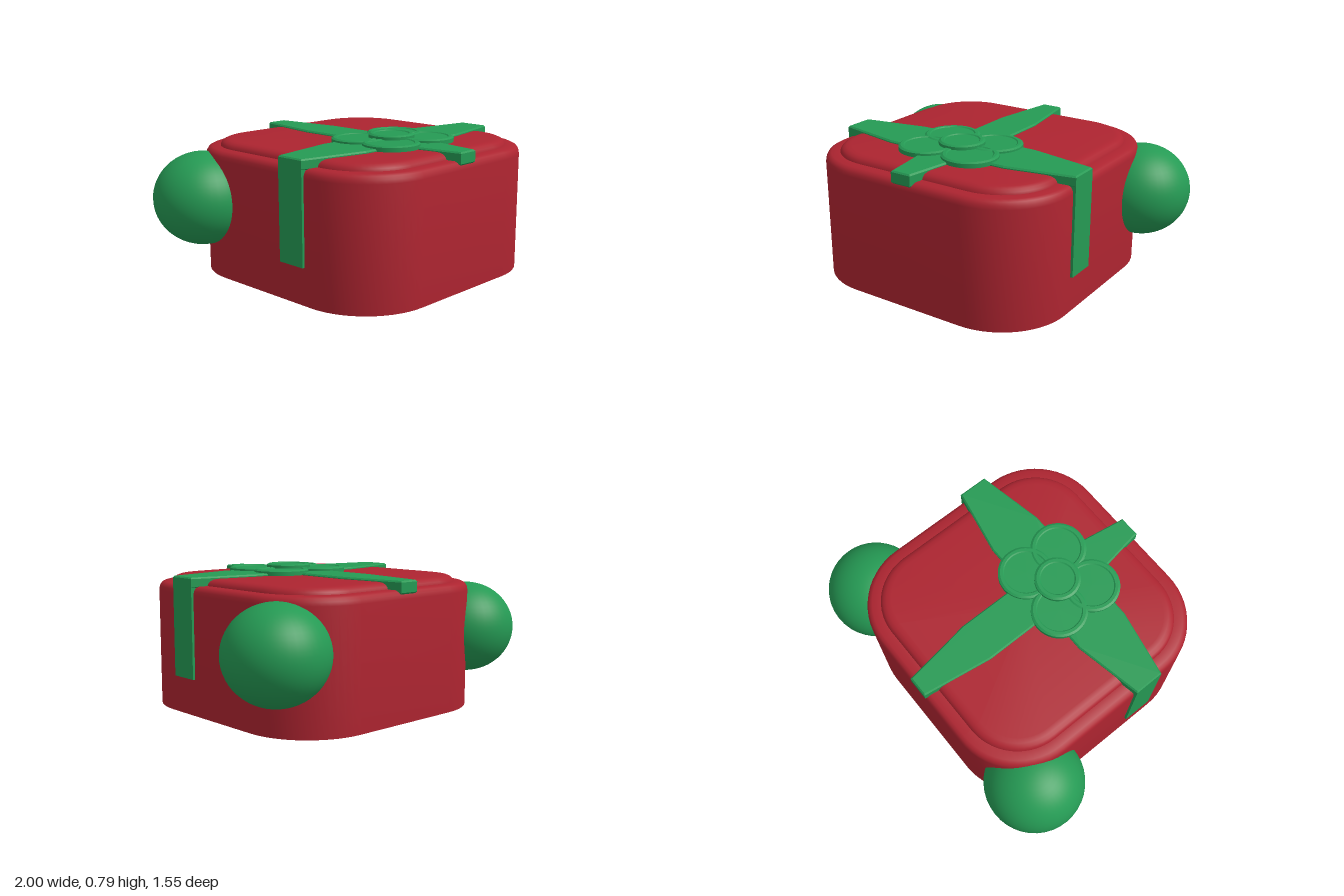
import * as THREE from 'three';
import { toCreasedNormals } from 'three/addons/utils/BufferGeometryUtils.js';

const BOX_Z = 0.035; // middle of the box
const BOW_Z = 0.25;  // middle of the bow

// Rounded-square body built from rings of [inset, height]
function roundedBody(half, radius, profile) {
  const pos = [], index = [], steps = 14, n = 4 * (steps + 1);
  for (const [inset, y] of profile) {
    const c = half - radius, r = radius - inset;
    for (let q = 0; q < 4; q++) {
      const sx = q === 0 || q === 3 ? 1 : -1, sz = q < 2 ? 1 : -1;
      for (let i = 0; i <= steps; i++) {
        const a = (q + i / steps) * Math.PI / 2;
        pos.push(sx * c + r * Math.cos(a), y, sz * c + r * Math.sin(a));
      }
    }
  }
  const last = profile.length - 1;
  for (let j = 0; j < last; j++) {
    for (let i = 0; i < n; i++) {
      const a = j * n + i, b = j * n + (i + 1) % n;
      index.push(a, a + n, b + n, a, b + n, b);
    }
  }
  // Bottom and top caps
  const bottom = pos.length / 3;
  pos.push(0, profile[0][1], 0, 0, profile[last][1], 0);
  for (let i = 0; i < n; i++) {
    const k = (i + 1) % n;
    index.push(bottom, i, k, bottom + 1, last * n + k, last * n + i);
  }
  const geo = new THREE.BufferGeometry();
  geo.setAttribute('position', new THREE.Float32BufferAttribute(pos, 3));
  geo.setIndex(index);
  return toCreasedNormals(geo, 0.6);
}

// Flat ribbon from an outline in x and z, with a thin bevelled edge
function ribbonGeometry(outline, y0, y1) {
  const bevel = 0.008;
  const shape = new THREE.Shape(outline.map(([x, z]) => new THREE.Vector2(x, -z)));
  const geo = new THREE.ExtrudeGeometry(shape, {
    depth: y1 - y0 - bevel, bevelEnabled: true, bevelThickness: bevel,
    bevelSize: bevel, bevelOffset: -bevel, bevelSegments: 1,
  });
  return geo.rotateX(-Math.PI / 2).translate(0, y0, 0);
}

// Stepped round disc for the bow
function discGeometry(r, y0, y1) {
  const points = [[r, y0], [r, y1 - 0.007], [r - 0.012, y1], [r - 0.028, y1], [r - 0.034, y1 - 0.005], [0, y1 - 0.005]];
  const geo = new THREE.LatheGeometry(points.map(([x, y]) => new THREE.Vector2(x, y)), 40);
  return toCreasedNormals(geo, 0.5);
}

export function createModel() {
  const model = new THREE.Group();
  model.name = 'giftBox';
  const red = new THREE.MeshStandardMaterial({ color: 0xad2430 });
  red.name = 'red';
  const green = new THREE.MeshStandardMaterial({ color: 0x259a54 });
  green.name = 'green';

  function add(name, geo, mat, x = 0, y = 0, z = 0) {
    const mesh = new THREE.Mesh(geo, mat);
    mesh.name = name;
    mesh.position.set(x, y, z);
    model.add(mesh);
    return mesh;
  }

  // Box with a soft upper edge and a raised lid panel
  add('box', roundedBody(0.738, 0.39, [
    [0, 0], [0, 0.66], [0.004, 0.68], [0.014, 0.696], [0.032, 0.705], [0.08, 0.706],
    [0.084, 0.718], [0.096, 0.731], [0.115, 0.739], [0.14, 0.742],
  ]), red, 0, 0, BOX_Z);

  // Ribbons across the lid, tapering to their ends
  add('crossRibbon', ribbonGeometry([
    [-0.752, 0.165], [-0.37, 0.09], [0.37, 0.09], [0.752, 0.165],
    [0.752, 0.335], [0.37, 0.41], [-0.37, 0.41], [-0.752, 0.335],
  ], 0.705, 0.755), green);
  add('lengthRibbon', ribbonGeometry([
    [-0.06, -0.706], [0.06, -0.706], [0.12, -0.31], [0.12, 0.4],
    [0.06, 0.776], [-0.06, 0.776], [-0.12, 0.4], [-0.12, -0.31],
  ], 0.692, 0.754), green);

  for (const s of [1, -1]) {
    const side = s > 0 ? 'left' : 'right';
    // Ribbon hanging down the side
    add(side + 'SideRibbon', new THREE.BoxGeometry(0.05, 0.545, 0.17), green, s * 0.727, 0.4755, BOW_Z);
    // Ball at the back corner
    const ball = add(side + 'Ball', new THREE.SphereGeometry(1, 40, 28), green, s * 0.724, 0.425, -0.503);
    ball.scale.set(0.276, 0.26, 0.275);
    // Bow petals
    for (const t of [1, -1]) {
      add(side + (t > 0 ? 'Front' : 'Back') + 'Petal', discGeometry(0.155, 0.74, 0.772), green, s * 0.142, 0, BOW_Z + 0.01 + t * 0.115);
    }
  }

  // Bow knot
  add('bowKnot', discGeometry(0.127, 0.75, 0.79), green, 0, 0, BOW_Z);
  return model;
}
